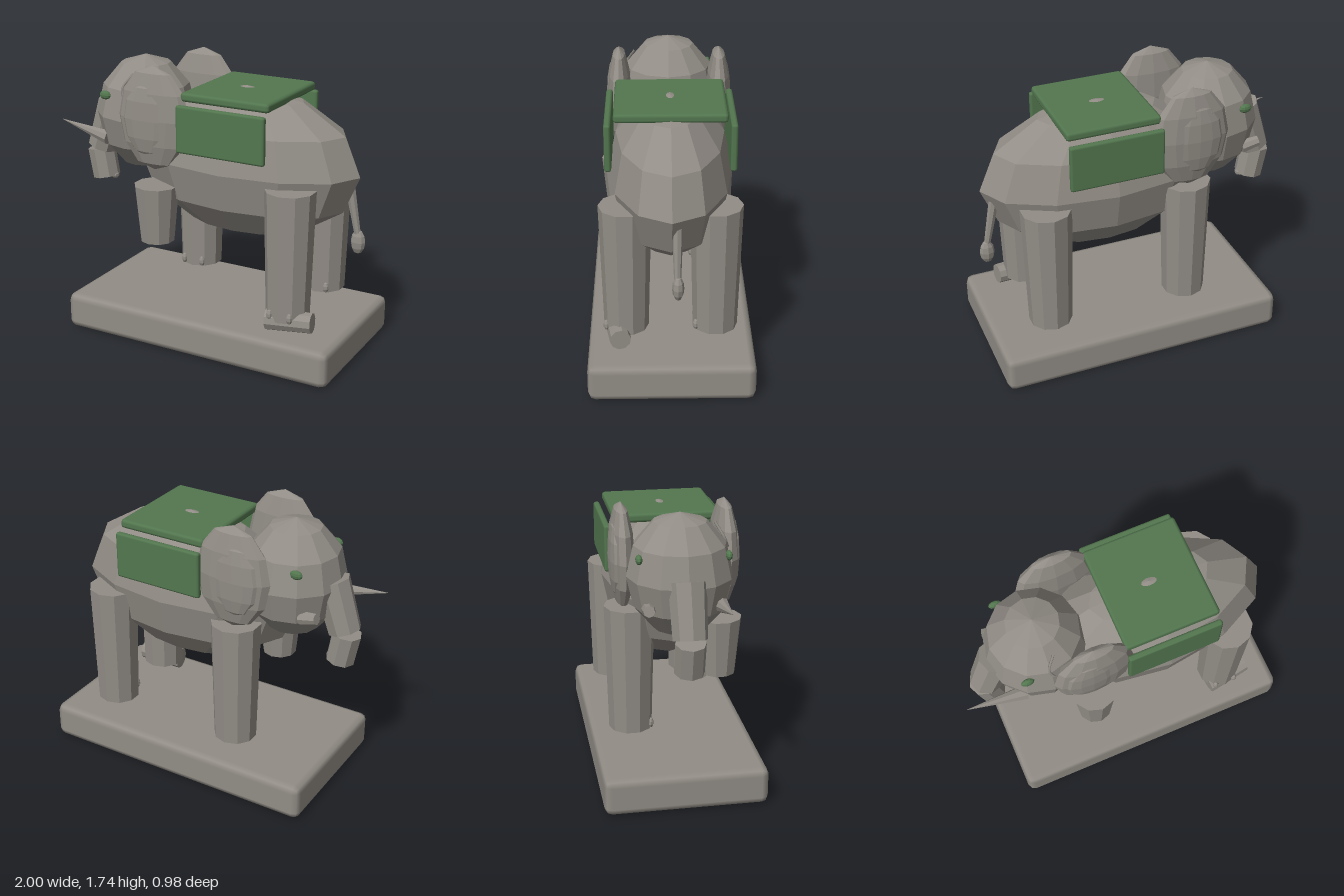
import * as THREE from 'three';
import { RoundedBoxGeometry } from 'three/addons/geometries/RoundedBoxGeometry.js';

export function createModel() {
  const root = new THREE.Group();
  root.name = 'elephantOnBase';

  const stone = new THREE.MeshStandardMaterial({ color: 0x928d86 });
  stone.name = 'warm grey stone';
  const green = new THREE.MeshStandardMaterial({ color: 0x53774f });
  green.name = 'saddle green';

  function add(name, geometry, material, x = 0, y = 0, z = 0) {
    const mesh = new THREE.Mesh(geometry, material);
    mesh.name = name;
    mesh.position.set(x, y, z);
    root.add(mesh);
    return mesh;
  }

  // Faceted geometry carries its own flat normals, so smooth parts can share the material
  function faceted(geometry) {
    const flat = geometry.toNonIndexed();
    flat.computeVertexNormals();
    return flat;
  }

  function ellipsoid(name, center, radii, material = stone, sides = 12, rings = 6) {
    const geometry = new THREE.SphereGeometry(1, sides, rings).scale(...radii);
    return add(name, faceted(geometry), material, ...center);
  }

  // Tapered prism running between two points
  function limb(name, from, to, rFrom, rTo, sides = 10) {
    const a = new THREE.Vector3(...from);
    const b = new THREE.Vector3(...to);
    const axis = a.clone().sub(b);
    const geometry = faceted(new THREE.CylinderGeometry(rFrom, rTo, axis.length(), sides));
    const mesh = add(name, geometry, stone, ...a.add(b).multiplyScalar(0.5).toArray());
    mesh.quaternion.setFromUnitVectors(new THREE.Vector3(0, 1, 0), axis.normalize());
    return mesh;
  }

  function roundedBox(name, size, radius, center, material) {
    return add(name, new RoundedBoxGeometry(...size, 1, radius), material, ...center);
  }

  // Plinth
  roundedBox('base', [1.8, 0.23, 0.98], 0.045, [0.09, 0.115, 0], stone);

  // Body and head
  ellipsoid('body', [0.22, 1.15, 0], [0.74, 0.463, 0.37]);
  ellipsoid('head', [-0.49, 1.365, 0], [0.31, 0.365, 0.31]);

  // Ears, eyes and saddle side panels on both sides
  for (const s of [1, -1]) {
    const side = s > 0 ? 'Near' : 'Far';
    ellipsoid('ear' + side, [-0.25, 1.42, s * 0.305], [0.245, 0.32, 0.075]);
    ellipsoid('innerEar' + side, [-0.28, 1.415, s * 0.345], [0.16, 0.225, 0.04]);
    ellipsoid('eye' + side, [-0.63, 1.505, s * 0.255], [0.04, 0.028, 0.02], green, 10, 6);
    roundedBox('saddlePanel' + side, [0.58, 0.29, 0.04], 0.015, [0.23, 1.395, s * 0.36], green);
  }
  roundedBox('saddleTop', [0.58, 0.056, 0.65], 0.02, [0.23, 1.577, 0], green);

  // Crease on the temple
  const crease = new THREE.CatmullRomCurve3([
    new THREE.Vector3(-0.45, 1.65, 0.21),
    new THREE.Vector3(-0.5, 1.56, 0.26),
    new THREE.Vector3(-0.48, 1.51, 0.28),
  ]);
  add('templeCrease', new THREE.TubeGeometry(crease, 6, 0.008, 5), stone);

  // Trunk in two bent pieces with a small tip
  limb('trunkUpper', [-0.73, 1.395, 0], [-0.83, 1.09, 0], 0.11, 0.1, 8);
  limb('trunkLower', [-0.845, 1.078, 0], [-0.81, 0.888, 0], 0.09, 0.088, 8);
  ellipsoid('trunkTip', [-0.745, 0.9, 0], [0.025, 0.025, 0.03], stone, 8, 5);

  // One whole tusk and one broken stub
  limb('tusk', [-0.645, 1.22, 0.21], [-1, 1.29, 0.2], 0.046, 0.001, 8);
  limb('brokenTusk', [-0.645, 1.215, -0.205], [-0.75, 1.24, -0.217], 0.042, 0.033, 8);

  // Three standing legs, each with two toenails
  const legs = [
    ['hindLegNear', 0.64, 0.265],
    ['hindLegFar', 0.64, -0.26],
    ['frontLegFar', -0.245, -0.26],
  ];
  for (const [name, x, z] of legs) {
    limb(name, [x, 1.105, z], [x, 0.316, z], 0.153, 0.132);
    for (const dx of [-0.065, 0.065]) {
      ellipsoid(name + 'Toenail', [x + dx, 0.35, z + 0.115], [0.02, 0.034, 0.02], stone, 8, 5);
    }
  }

  // Raised front leg: upper part and separate lower part lying on the base
  limb('raisedLegUpper', [-0.25, 1.0, 0.285], [-0.25, 0.64, 0.285], 0.14, 0.106);
  limb('raisedLegLower', [0.54, 0.303, 0.335], [0.817, 0.315, 0.298], 0.07, 0.062);

  // Tail with tuft
  limb('tail', [0.885, 1.09, -0.03], [0.947, 0.79, -0.03], 0.032, 0.02, 8);
  ellipsoid('tailTuft', [0.95, 0.742, -0.033], [0.046, 0.076, 0.035], stone, 8, 6);

  return root;
}
